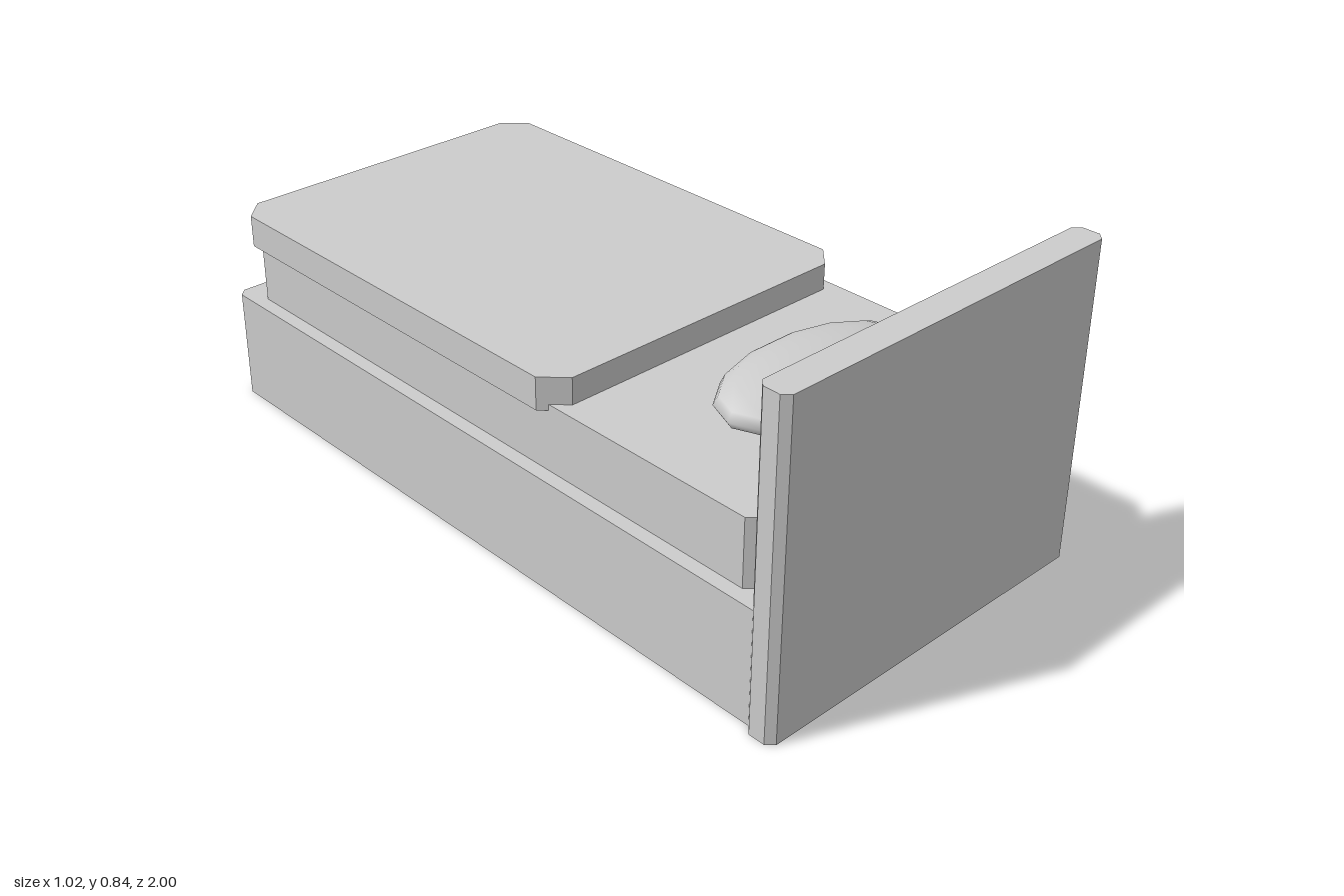
import * as THREE from 'three';

// Upright slab with chamfered vertical corners, spanning z0..z1 and y0..y1
function slab(name, halfWidth, z0, z1, y0, y1, c, material) {
  const w = halfWidth, a = -z1, b = -z0; // shape y becomes -z
  const outline = [
    [-w + c, a], [w - c, a], [w, a + c], [w, b - c],
    [w - c, b], [-w + c, b], [-w, b - c], [-w, a + c],
  ].map(([x, y]) => new THREE.Vector2(x, y));
  const geometry = new THREE.ExtrudeGeometry(new THREE.Shape(outline), {
    depth: y1 - y0, bevelEnabled: false,
  });
  geometry.rotateX(-Math.PI / 2).translate(0, y0, 0);
  const mesh = new THREE.Mesh(geometry, material);
  mesh.name = name;
  return mesh;
}

export function createModel() {
  const model = new THREE.Group();
  model.name = 'bed';
  const grey = new THREE.MeshStandardMaterial({ color: 0xcccccc });
  grey.name = 'light grey';

  model.add(
    slab('headboard', 0.512, 0.92, 1.0, 0, 0.842, 0.018, grey),
    slab('bedBase', 0.493, -1.0, 0.94, 0, 0.3, 0.02, grey),
    slab('mattress', 0.455, -0.96, 0.9, 0.3, 0.476, 0.048, grey),
    slab('blanket', 0.475, -0.98, 0.283, 0.46, 0.546, 0.058, grey),
  );

  // Pillow: flattened smooth ellipsoid
  const pillowGeometry = new THREE.SphereGeometry(1, 14, 10);
  pillowGeometry.scale(0.295, 0.065, 0.167);
  const pillow = new THREE.Mesh(pillowGeometry, grey);
  pillow.name = 'pillow';
  pillow.position.set(0, 0.54, 0.642);
  model.add(pillow);

  return model;
}
